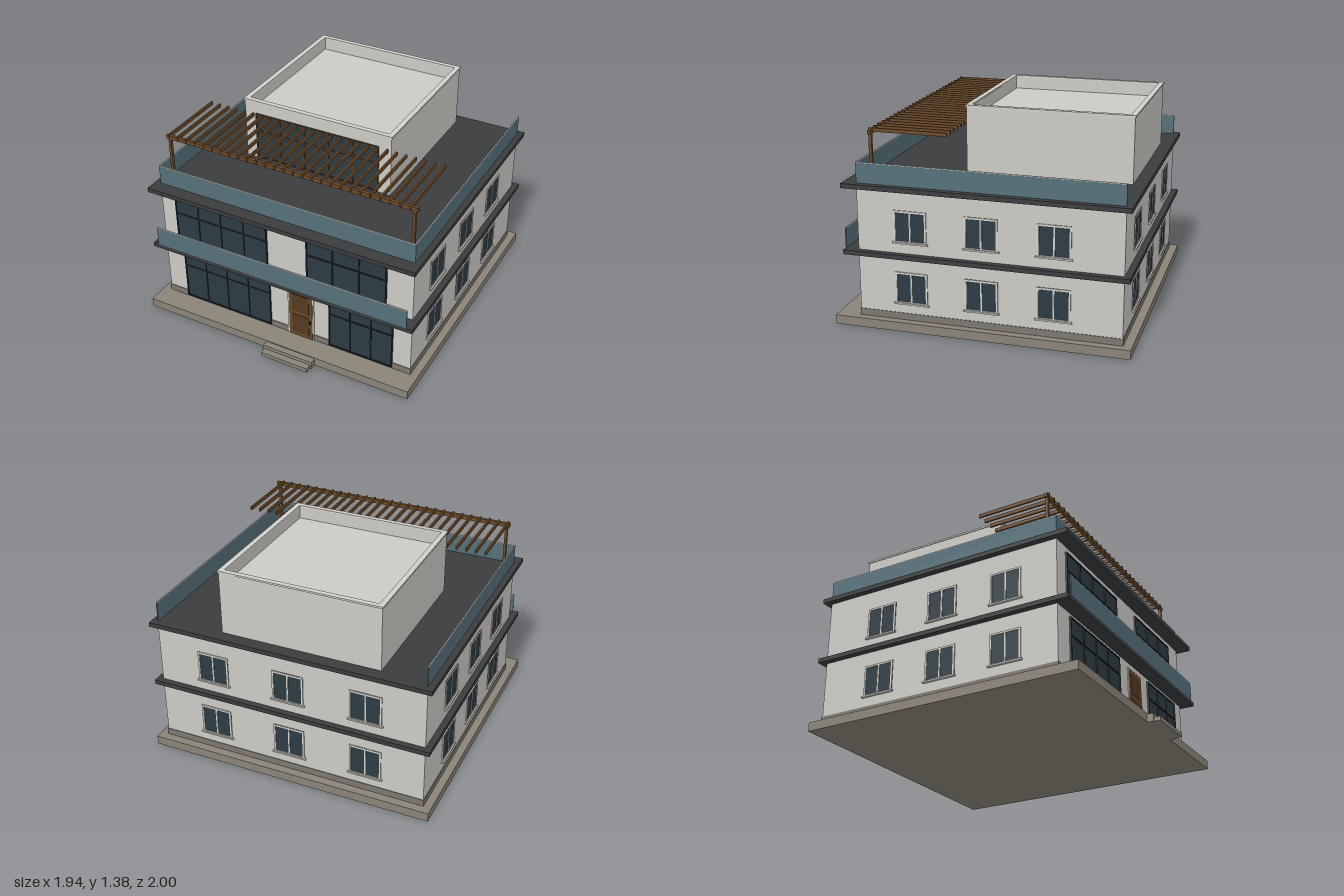
import * as THREE from 'three';

const mat = (color, side = THREE.FrontSide) => new THREE.MeshStandardMaterial({ color, side });
const M = {
  wall: mat(0xcccac4), trim: mat(0xd2d0ca), plinth: mat(0x8a8378), skirting: mat(0x7c7871),
  slab: mat(0x3a3c3e), teal: mat(0x55707a), glass: mat(0x2c3b43), frame: mat(0x22282c),
  wood: mat(0x6b4a28), darkWood: mat(0x553a20),
};

// Box given by its extents on each axis
function box(parent, name, material, [x0, x1], [y0, y1], [z0, z1]) {
  const mesh = new THREE.Mesh(new THREE.BoxGeometry(x1 - x0, y1 - y0, z1 - z0), material);
  mesh.position.set((x0 + x1) / 2, (y0 + y1) / 2, (z0 + z1) / 2);
  mesh.name = name;
  parent.add(mesh);
  return mesh;
}

// Rectangular ring, open in the middle, rising from y0 to y1
function ring(parent, name, material, [x0, x1], [z0, z1], [y0, y1], t) {
  const rect = (P, a, b, c, d) => new P([[a, c], [b, c], [b, d], [a, d]].map(p => new THREE.Vector2(...p)));
  const shape = rect(THREE.Shape, x0, x1, -z1, -z0);
  shape.holes.push(rect(THREE.Path, x0 + t, x1 - t, -z1 + t, -z0 - t));
  const geo = new THREE.ExtrudeGeometry(shape, { depth: y1 - y0, bevelEnabled: false });
  geo.rotateX(-Math.PI / 2);
  const mesh = new THREE.Mesh(geo, material);
  mesh.position.y = y0;
  mesh.name = name;
  parent.add(mesh);
}

// Large glazed front opening with an even grid of mullions
function glazing(parent, name, [x0, x1], [y0, y1], z, panes, railY, frameMat) {
  const g = new THREE.Group();
  g.name = name;
  const t = 0.004, front = [z, z + 0.012];
  box(g, 'pane', M.glass, [x0, x1], [y0, y1], [z - 0.01, z + 0.006]);
  for (let i = 0; i <= panes; i++) {
    const x = x0 + t + (x1 - x0 - 2 * t) * i / panes;
    box(g, 'mullion', frameMat, [x - t, x + t], [y0, y1], front);
  }
  for (const y of [y0 + t, railY, y1 - t]) box(g, 'rail', frameMat, [x0, x1], [y - t, y + t], front);
  parent.add(g);
}

// Two-light window with frame and sill, facing +z around its own centre
function smallWindow() {
  const g = new THREE.Group();
  g.name = 'window';
  const w = 0.107, h = 0.105, t = 0.012, d = [-0.01, 0.007];
  box(g, 'pane', M.glass, [-w, w], [-h, h], [-0.01, 0.003]);
  for (const s of [-1, 1]) {
    const x = s * (w - t / 2), y = s * (h - t / 2);
    box(g, 'jamb', M.trim, [x - t / 2, x + t / 2], [-h, h], d);
    box(g, 'frameRail', M.trim, [-w, w], [y - t / 2, y + t / 2], d);
  }
  box(g, 'mullion', M.trim, [-0.005, 0.005], [-h, h], d);
  box(g, 'sill', M.trim, [-w - 0.01, w + 0.01], [-h - 0.004, -h + 0.006], [-0.01, 0.016]);
  return g;
}

export function createModel() {
  const house = new THREE.Group();
  house.name = 'house';
  const X = 0.915, BACK = -0.94, FRONT = 0.76;

  // Plinth and entrance steps
  box(house, 'plinth', M.plinth, [-0.97, 0.97], [0, 0.06], [-1, 0.915]);
  box(house, 'upperStep', M.plinth, [-0.05, 0.31], [0, 0.053], [0.9, 0.957]);
  box(house, 'lowerStep', M.plinth, [-0.04, 0.3], [0, 0.028], [0.9, 1]);

  // Main storeys, skirting and floor slabs
  box(house, 'walls', M.wall, [-X, X], [0.06, 0.915], [BACK, FRONT]);
  box(house, 'skirting', M.skirting, [-X - 0.004, X + 0.004], [0.06, 0.105], [BACK - 0.004, FRONT + 0.004]);
  box(house, 'balconySlab', M.slab, [-0.955, 0.955], [0.475, 0.505], [-0.98, 0.85]);
  box(house, 'roofSlab', M.slab, [-0.955, 0.955], [0.91, 0.94], [-0.98, 0.85]);

  // Tinted balustrades: front of the balcony, then front and sides of the terrace
  const panel = (name, x, y, z) => {
    box(house, name, M.teal, x, [y, y + 0.13], z);
    box(house, name + 'Rail', M.trim, x, [y + 0.13, y + 0.135], z);
  };
  panel('balconyBalustrade', [-X, X], 0.505, [0.843, 0.85]);
  panel('terraceBalustrade', [-X, X], 0.94, [FRONT - 0.007, FRONT]);
  for (const s of [-1, 1]) {
    const x = s * (X - 0.0035);
    panel('sideBalustrade', [x - 0.0035, x + 0.0035], 0.94, [BACK, FRONT - 0.007]);
  }

  // Front glazing
  glazing(house, 'lowerWideWindow', [-0.77, -0.1], [0.07, 0.45], FRONT, 4, 0.33, M.frame);
  glazing(house, 'lowerNarrowWindow', [0.335, 0.79], [0.07, 0.45], FRONT, 3, 0.33, M.frame);
  glazing(house, 'upperWideWindow', [-0.805, -0.11], [0.515, 0.87], FRONT, 4, 0.745, M.frame);
  glazing(house, 'upperNarrowWindow', [0.175, 0.737], [0.515, 0.87], FRONT, 3, 0.745, M.frame);

  // Front door
  const door = new THREE.Group();
  door.name = 'frontDoor';
  box(door, 'doorFrame', M.trim, [0.032, 0.225], [0.06, 0.437], [0.75, 0.767]);
  box(door, 'doorLeaf', M.wood, [0.042, 0.215], [0.06, 0.428], [0.75, 0.77]);
  for (const y of [[0.085, 0.235], [0.262, 0.4]]) box(door, 'doorPanel', M.darkWood, [0.066, 0.191], y, [0.76, 0.773]);
  box(door, 'doorHandle', M.frame, [0.196, 0.204], [0.19, 0.215], [0.765, 0.78]);
  house.add(door);

  // Side and back windows on both storeys
  for (const y of [0.275, 0.68]) {
    for (const i of [-1, 0, 1]) {
      for (const s of [-1, 1]) {
        const side = smallWindow();
        side.rotation.y = s * Math.PI / 2;
        side.position.set(s * X, y, -0.05 + i * 0.46);
        house.add(side);
      }
      const back = smallWindow();
      back.rotation.y = Math.PI;
      back.position.set(i * 0.525, y, BACK);
      house.add(back);
    }
  }

  // Penthouse with sunken roof and coping
  const px = [-0.605, 0.47], pz = [-0.895, 0.185];
  box(house, 'penthouse', M.wall, px, [0.94, 1.28], pz);
  ring(house, 'penthouseParapet', M.wall, px, pz, [1.28, 1.365], 0.025);
  ring(house, 'penthouseCoping', M.trim, [-0.611, 0.476], [-0.901, 0.191], [1.363, 1.375], 0.034);
  glazing(house, 'penthouseGlazing', [-0.52, 0.385], [0.95, 1.282], 0.185, 5, 1.155, M.darkWood);

  // Pergola
  const pergola = new THREE.Group();
  pergola.name = 'pergola';
  for (const x of [-0.866, 0.861]) box(pergola, 'post', M.wood, [x - 0.009, x + 0.009], [0.94, 1.25], [0.665, 0.685]);
  box(pergola, 'beam', M.wood, [-0.889, 0.885], [1.246, 1.273], [0.664, 0.686]);
  for (let i = 0; i < 27; i++) {
    const x = -0.871 + i * 0.0657;
    box(pergola, 'rafter', M.wood, [x - 0.006, x + 0.006], [1.255, 1.279], [0.185, 0.692]);
  }
  house.add(pergola);
  return house;
}
